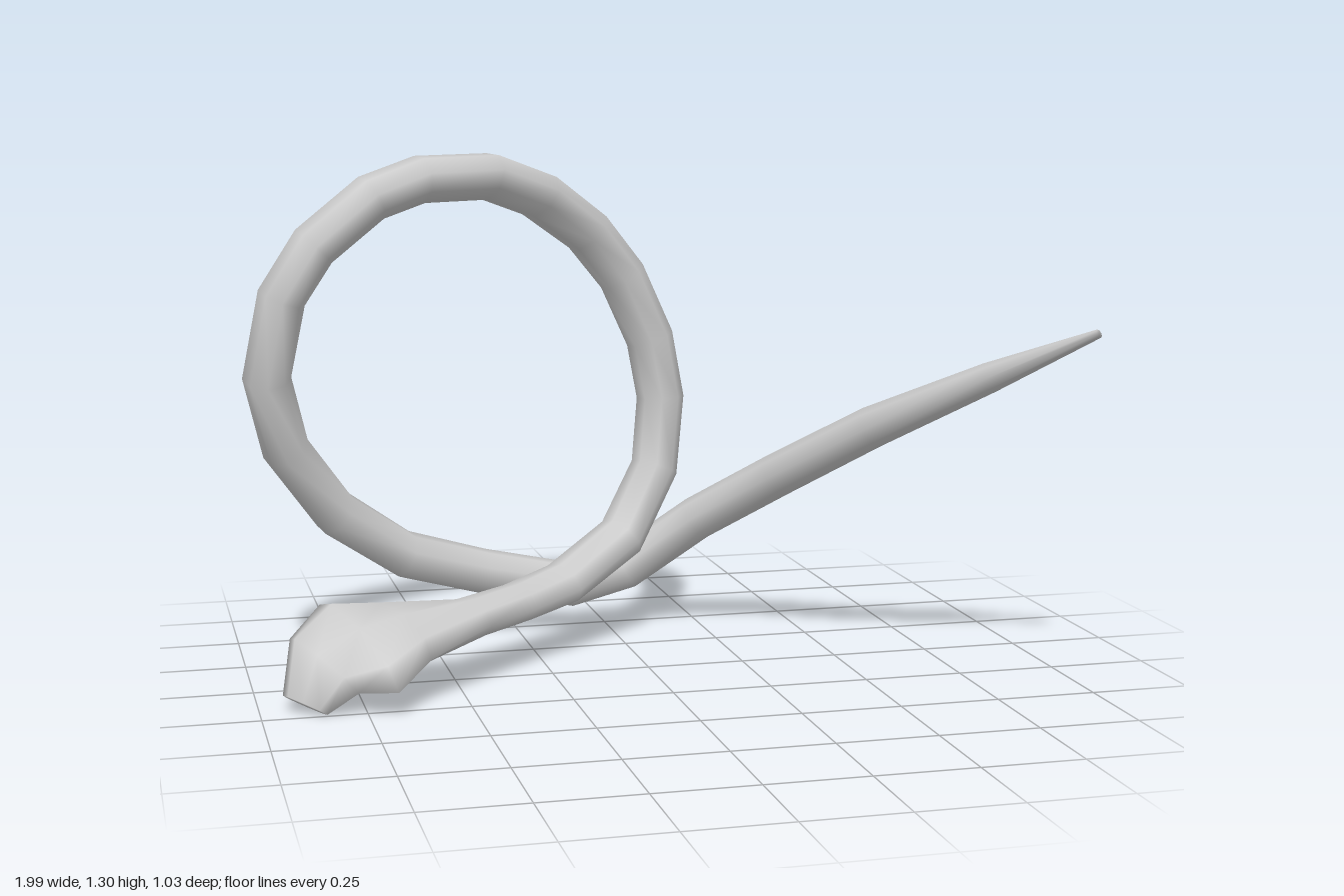
import * as THREE from 'three';

const SIDES = 8;

// Stations from snout to tail tip: x, y, z, half width, half height, roll
const HEAD = [
  [-0.895, 0.05, 0.215, 0.06, 0.022, 0.6],
  [-0.845, 0.135, 0.185, 0.12, 0.06, 0.45],
  [-0.76, 0.17, 0.17, 0.178, 0.062, 0.36],
  [-0.65, 0.182, 0.105, 0.13, 0.055, 0.22],
  [-0.46, 0.19, 0.01, 0.08, 0.045, 0],
];
const COIL = [
  [-0.32, 0.195, -0.1, 0.07, 0.048],
  [-0.18, 0.215, -0.2, 0.068, 0.055],
  [0, 0.31, -0.3, 0.065, 0.063],
  [0.11, 0.48, -0.375, 0.062, 0.065],
  [0.13, 0.67, -0.388, 0.062, 0.065],
  [0.1, 0.83, -0.385, 0.063, 0.064],
  [0.02, 1.0, -0.368, 0.065, 0.062],
  [-0.08, 1.12, -0.335, 0.07, 0.06],
  [-0.22, 1.22, -0.275, 0.077, 0.06],
  [-0.37, 1.275, -0.195, 0.08, 0.06],
  [-0.55, 1.272, -0.14, 0.082, 0.06],
  [-0.675, 1.23, -0.11, 0.082, 0.06],
  [-0.82, 1.115, -0.092, 0.082, 0.06],
  [-0.9, 0.99, -0.1, 0.082, 0.06],
  [-0.938, 0.79, -0.13, 0.082, 0.06],
  [-0.89, 0.6, -0.2, 0.08, 0.06],
  [-0.76, 0.415, -0.29, 0.075, 0.06],
  [-0.57, 0.275, -0.385, 0.068, 0.06],
  [-0.35, 0.205, -0.44, 0.062, 0.06],
];
const TAIL = [
  [-0.1, 0.15, -0.46, 0.06, 0.06],
  [0.05, 0.19, -0.46, 0.06, 0.06],
  [0.23, 0.335, -0.375, 0.058, 0.06],
  [0.4, 0.48, -0.185, 0.056, 0.06],
  [0.57, 0.64, 0.07, 0.052, 0.056],
  [0.8, 0.787, 0.28, 0.037, 0.04],
  [0.985, 0.917, 0.505, 0.01, 0.012],
];

// Loft elliptical rings along the stations, carrying the frame forward without twist
function loft(stations) {
  const centres = stations.map(([x, y, z]) => new THREE.Vector3(x, y, z));
  const last = centres.length - 1;
  const positions = [];
  const indices = [];
  let side = null;

  centres.forEach((c, i) => {
    const tangent = centres[Math.min(i + 1, last)].clone()
      .sub(centres[Math.max(i - 1, 0)]).normalize();
    // The frame starts level; roll then tilts the head's wide axis
    if (!side) side = new THREE.Vector3(0, 1, 0).cross(tangent);
    side.addScaledVector(tangent, -side.dot(tangent)).normalize();
    const [, , , w, h, roll = 0] = stations[i];
    const wide = side.clone().applyAxisAngle(tangent, roll);
    const up = tangent.clone().cross(wide);
    for (let j = 0; j < SIDES; j++) {
      const a = (j / SIDES) * Math.PI * 2;
      const p = c.clone()
        .addScaledVector(wide, Math.cos(a) * w)
        .addScaledVector(up, Math.sin(a) * h);
      positions.push(p.x, p.y, p.z);
    }
  });

  for (let i = 0; i < last; i++) {
    for (let j = 0; j < SIDES; j++) {
      const k = (j + 1) % SIDES;
      const a = i * SIDES + j, b = i * SIDES + k;
      indices.push(a, b, a + SIDES, b, b + SIDES, a + SIDES);
    }
  }

  // Close the snout and the tail tip
  const end = last * SIDES;
  for (let j = 1; j < SIDES - 1; j++) {
    indices.push(0, j + 1, j, end, end + j, end + j + 1);
  }

  const geometry = new THREE.BufferGeometry();
  geometry.setAttribute('position', new THREE.Float32BufferAttribute(positions, 3));
  geometry.setIndex(indices);
  geometry.computeVertexNormals();
  return geometry;
}

export function createModel() {
  const group = new THREE.Group();
  group.name = 'coiledSnake';

  // One continuous skin: flattened head, looping body and tapering tail
  const material = new THREE.MeshStandardMaterial({ color: 0xcccccc });
  const body = new THREE.Mesh(loft([...HEAD, ...COIL, ...TAIL]), material);
  body.name = 'snakeBody';
  group.add(body);

  return group;
}
